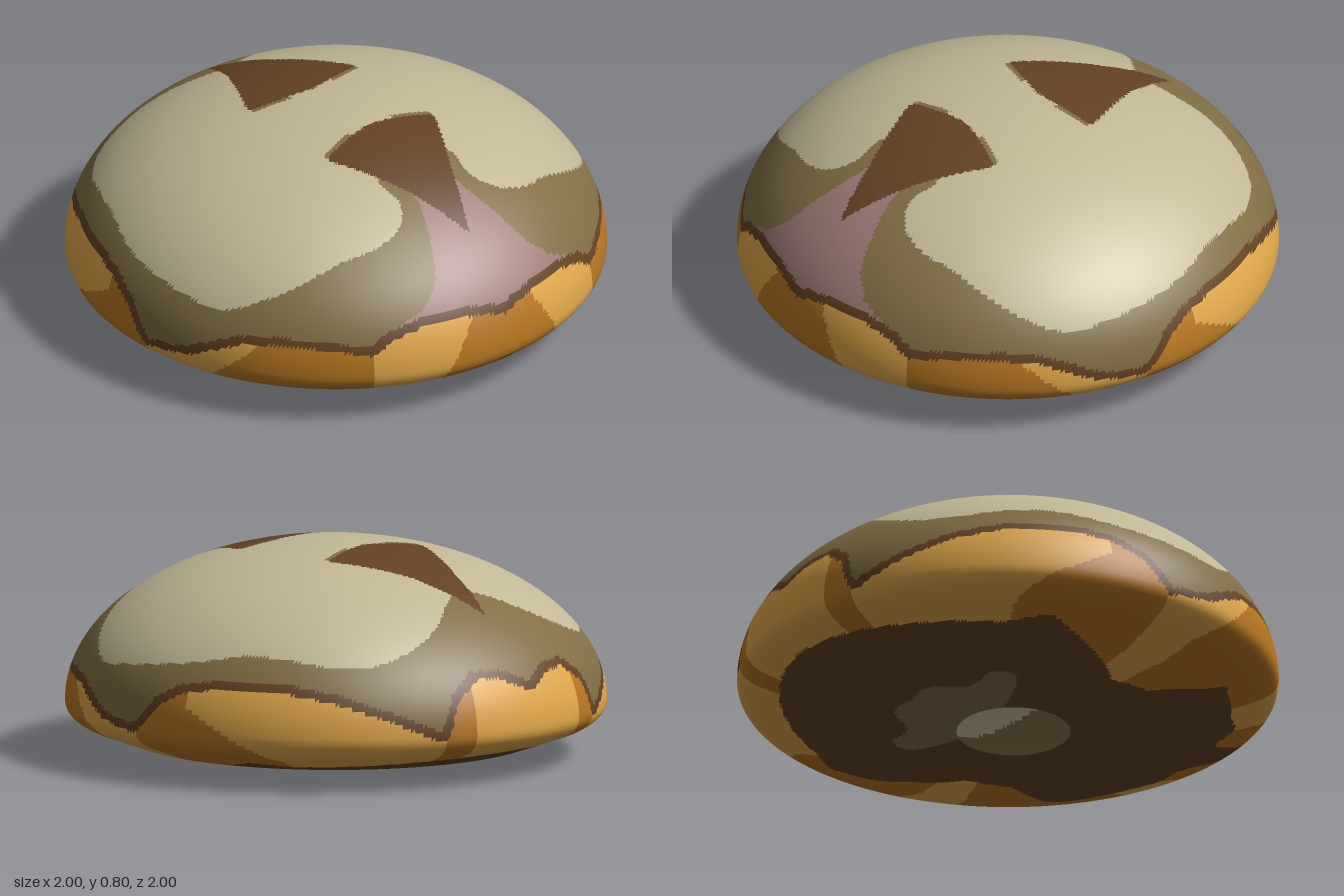
import * as THREE from 'three';

const SEGMENTS = 400, ROWS = 124;

const material = (name, color) => {
  const m = new THREE.MeshStandardMaterial({ color, side: THREE.DoubleSide });
  m.name = name;
  return m;
};

// Linear interpolation through [key, value] pairs
function interpolate(pairs, k) {
  let i = 1;
  while (i < pairs.length - 1 && pairs[i][0] < k) i++;
  const [a, va] = pairs[i - 1], [b, vb] = pairs[i];
  return va + (vb - va) * THREE.MathUtils.clamp((k - a) / (b - a), 0, 1);
}

function inside(polygon, x, y) {
  let hit = false;
  for (let i = 0, j = polygon.length - 1; i < polygon.length; j = i++) {
    const [xi, yi] = polygon[i], [xj, yj] = polygon[j];
    if ((yi > y) !== (yj > y) && x < ((xj - xi) * (y - yi)) / (yj - yi) + xi) hit = !hit;
  }
  return hit;
}

// Rounded outline through control points
const rounded = (points) =>
  new THREE.CatmullRomCurve3(points.map(([x, y]) => new THREE.Vector3(x, y, 0)))
    .getPoints(100).map((p) => [p.x, p.y]);

// Pattern outlines; everything is mirrored across z, so they use |z|
const creamOutline = rounded([[-0.58, -0.02], [-0.66, 0.12], [-0.73, 0.25], [-0.75, 0.4], [-0.7, 0.56],
  [-0.6, 0.67], [-0.45, 0.755], [-0.3, 0.82], [-0.15, 0.885], [0, 0.915], [0.2, 0.91], [0.38, 0.86],
  [0.5, 0.75], [0.57, 0.63], [0.62, 0.48], [0.66, 0.35], [0.645, 0.23], [0.57, 0.165], [0.45, 0.17], [0.4, -0.02]]);
const wedges = [
  [[0.19, -0.02], [0.205, 0.08], [0.25, 0.25], [0.275, 0.25], [0.56, 0.1], [0.68, 0.045], [0.77, 0], [0.77, -0.02]],
  [[-0.13, -0.02], [-0.15, 0.08], [-0.19, 0.25], [-0.215, 0.25], [-0.5, 0.1], [-0.64, 0.045], [-0.75, 0], [-0.75, -0.02]],
];
const pinkOutline = [[-0.02, 0.75], [0.08, 0.72], [0.11, 0.67], [0.17, 0.58], [0.22, 0.5], [0.3, 0.43], [0.44, 0.37], [0.44, 0.3], [-0.02, 0.3]];
const undersideOlive = rounded([[-0.12, -0.02], [-0.12, 0.18], [-0.2, 0.38], [-0.28, 0.36], [-0.3, 0.22], [-0.41, 0.13], [-0.42, -0.02]]);

// Height of the rim panels and inner radius of their undersides, by angle from +x
const panelTop = [[0, 0.335], [5, 0.36], [12, 0.375], [20, 0.37], [27, 0.34], [31.6, 0.285], [36, 0.3],
  [45, 0.318], [52, 0.32], [60, 0.305], [66, 0.265], [73, 0.21], [79, 0.195], [84, 0.18], [87, 0.22], [91, 0.3],
  [97, 0.35], [107, 0.378], [120, 0.375], [133, 0.335], [145, 0.265], [155, 0.19], [157, 0.2],
  [160, 0.33], [166, 0.4], [172, 0.395], [180, 0.335]];
const panelInner = [[0, 0.99], [4, 0.97], [7, 0.85], [10, 0.82], [18, 0.86], [28, 0.82], [45, 0.83], [52, 0.7], [58, 0.58],
  [75, 0.53], [92, 0.66], [103, 0.77], [110, 0.84], [122, 0.79], [142, 0.82], [165, 0.87], [180, 0.89]];

// Which part a point of the shell belongs to
function partAt(x, y, z) {
  z = Math.abs(z);
  const r = Math.hypot(x, z);
  const a = THREE.MathUtils.radToDeg(Math.atan2(z, x));
  if (y < 0.2) {
    if (inside(undersideOlive, x, z)) return 'shellField';
    if (r < interpolate(panelInner, a)) return 'darkTrim';
  }
  if (y < interpolate(panelTop, a)) {
    const h = Math.max(y, 0.1);
    const bright = a < 31.6 ? a > 21 - 35 * h
      : a < 84.5 ? a > 78 - 70 * h
      : a < 156.5 ? a > Math.max(98, 98 + 110 * (0.3 - h))
      : a > 164;
    return bright ? 'rimHighlights' : 'rimPanels';
  }
  const edge = Math.max(...[-1.3, 0, 1.3].map((d) => interpolate(panelTop, a + d)));
  if (y < edge + 0.028) return 'darkTrim';
  if (y > 0.5) {
    if (wedges.some((w) => inside(w, x, z))) return 'darkTrim';
    // Thin olive edge at the inner corners of the wedges
    if (z > 0.1 && wedges.some((w) => inside(w, x + 0.02 * Math.sign(x), z))) return 'shellField';
  }
  if (x > 0 && inside(pinkOutline, z, y)) return 'sidePatch';
  return inside(creamOutline, x, z) ? 'creamPatches' : 'shellField';
}

export function createModel() {
  const group = new THREE.Group();
  group.name = 'domedShell';
  const materials = {
    shellField: material('olive', 0x816e45),
    creamPatches: material('cream', 0xc2b896),
    darkTrim: material('brown', 0x634224),
    rimPanels: material('orange', 0xb97822),
    rimHighlights: material('light orange', 0xe2a84a),
    sidePatch: material('dusty pink', 0x9e7c77),
  };

  // Half profile: open underside, rounded rim, elliptical dome
  const path = new THREE.Path();
  path.moveTo(0.21, 0);
  path.lineTo(0.75, 0.055);
  path.lineTo(0.93, 0.12);
  path.quadraticCurveTo(1, 0.15, 1, 0.2);
  path.absellipse(0, 0.2, 1, 0.6, 0, Math.PI / 2, false);
  const profile = path.getSpacedPoints(ROWS);

  // Revolve the profile, with both poles slightly off centre
  const positions = [];
  for (const p of profile) {
    for (let j = 0; j < SEGMENTS; j++) {
      const a = (j / SEGMENTS) * Math.PI * 2;
      positions.push(p.x * Math.cos(a) + 0.03 * (1 - p.x), p.y, p.x * Math.sin(a));
    }
  }

  // Sort the triangles into the coloured parts
  const faces = Object.fromEntries(Object.keys(materials).map((k) => [k, []]));
  const all = [];
  const addFace = (...ids) => {
    const [x, y, z] = [0, 1, 2].map((c) => ids.reduce((s, i) => s + positions[i * 3 + c], 0) / 3);
    faces[partAt(x, y, z)].push(...ids);
    all.push(...ids);
  };
  for (let i = 0; i < ROWS; i++) {
    for (let j = 0; j < SEGMENTS; j++) {
      const k = (j + 1) % SEGMENTS;
      const a = i * SEGMENTS + j, b = a + SEGMENTS, c = i * SEGMENTS + k, d = c + SEGMENTS;
      addFace(a, b, c);
      if (i < ROWS - 1) addFace(b, d, c);
    }
  }

  // Smooth normals are shared by all parts
  const surface = new THREE.BufferGeometry();
  surface.setAttribute('position', new THREE.Float32BufferAttribute(positions, 3));
  surface.setIndex(all);
  surface.computeVertexNormals();

  for (const [name, index] of Object.entries(faces)) {
    const geometry = new THREE.BufferGeometry();
    geometry.setAttribute('position', surface.getAttribute('position'));
    geometry.setAttribute('normal', surface.getAttribute('normal'));
    geometry.setIndex(index);
    const mesh = new THREE.Mesh(geometry, materials[name]);
    mesh.name = name;
    group.add(mesh);
  }
  return group;
}
